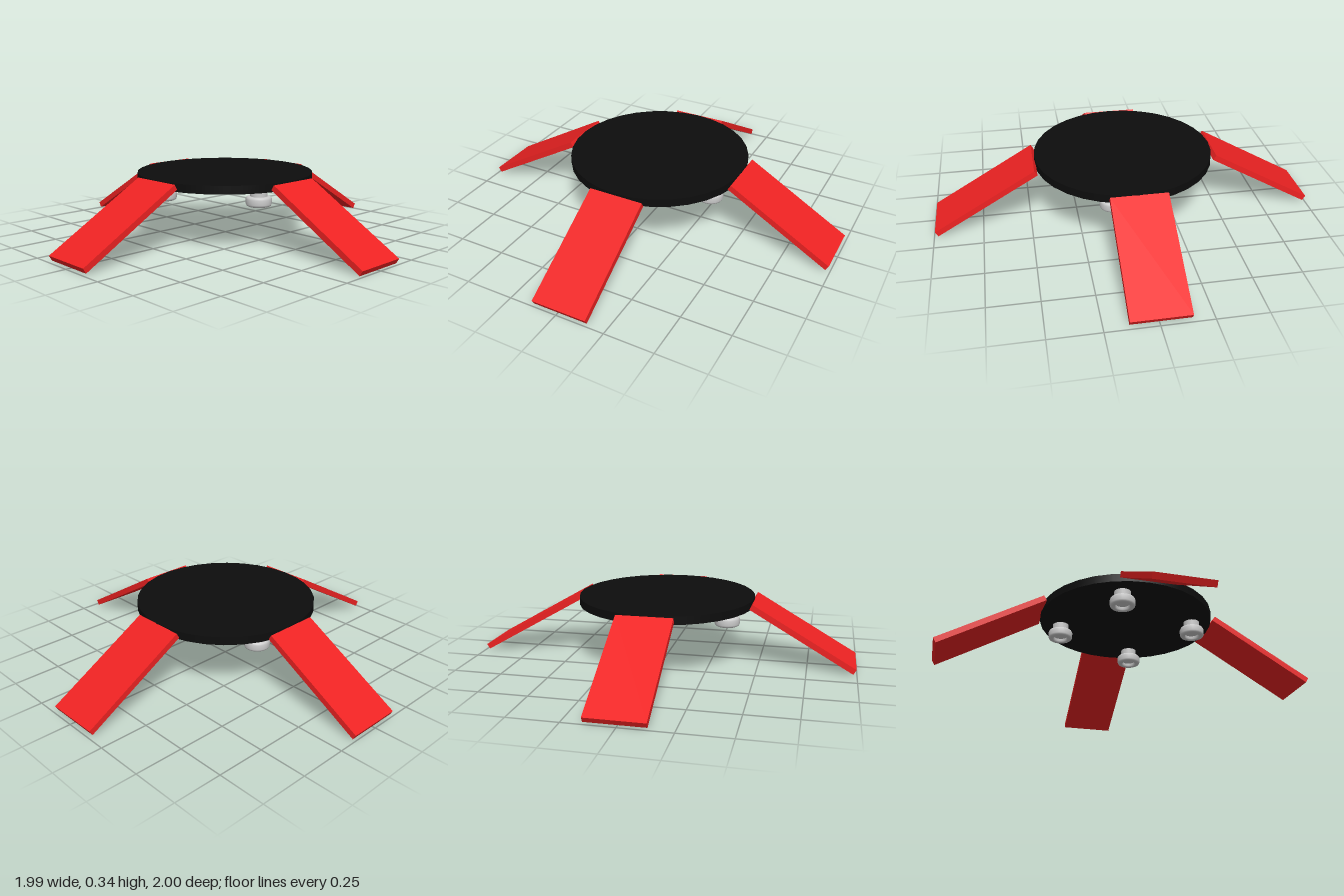
import * as THREE from 'three';

const red = new THREE.MeshStandardMaterial({ color: 0xee2222 });
const black = new THREE.MeshStandardMaterial({ color: 0x0d0d0d });
const grey = new THREE.MeshStandardMaterial({ color: 0xcccccc });

function addMesh(parent, name, geometry, material) {
  const mesh = new THREE.Mesh(geometry, material);
  mesh.name = name;
  parent.add(mesh);
  return mesh;
}

export function createModel() {
  const model = new THREE.Group();
  model.name = 'discOnLegs';

  // Flat round plate
  const plate = addMesh(model, 'plate', new THREE.CylinderGeometry(0.465, 0.465, 0.042, 32), black);
  plate.position.set(0, 0.321, -0.004);

  // Four sloping slab legs: name, heading, centre x and z, slope in degrees
  const legs = [
    ['leftLeg', 0, 0.72, -0.007, 30],
    ['backLeg', Math.PI / 2, 0.01, -0.73, 30],
    ['rightLeg', Math.PI, -0.725, -0.006, 30],
    ['frontLeg', -Math.PI / 2, 0.01, 0.725, 30.5],
  ];
  for (const [name, heading, x, z, slope] of legs) {
    const leg = new THREE.Group();
    leg.name = name;
    leg.position.set(x, name === 'frontLeg' ? 0.171 : 0.175, z);
    leg.rotation.y = heading;
    const slab = addMesh(leg, name + 'Slab', new THREE.BoxGeometry(0.61, 0.03, 0.285), red);
    slab.rotation.z = -THREE.MathUtils.degToRad(slope);
    model.add(leg);
  }

  // Rounded feet with a recessed underside, each on a short stem
  const collarProfile = [
    [0.036, 0.24], [0.036, 0.222], [0.041, 0.215], [0.054, 0.215], [0.061, 0.219], [0.065, 0.228],
    [0.065, 0.252], [0.061, 0.261], [0.054, 0.265], [0.043, 0.265],
  ].map(([r, y]) => new THREE.Vector2(r, y));
  const collarGeometry = new THREE.LatheGeometry(collarProfile, 24);
  const stemGeometry = new THREE.CylinderGeometry(0.043, 0.043, 0.07, 24);
  for (let i = 0; i < 4; i++) {
    const angle = 0.3 + i * Math.PI / 2;
    const foot = new THREE.Group();
    foot.name = 'foot' + (i + 1);
    foot.position.set(0.005 + 0.358 * Math.cos(angle), 0, 0.358 * Math.sin(angle));
    addMesh(foot, 'footCollar', collarGeometry, grey);
    addMesh(foot, 'footStem', stemGeometry, grey).position.y = 0.27;
    model.add(foot);
  }

  return model;
}
